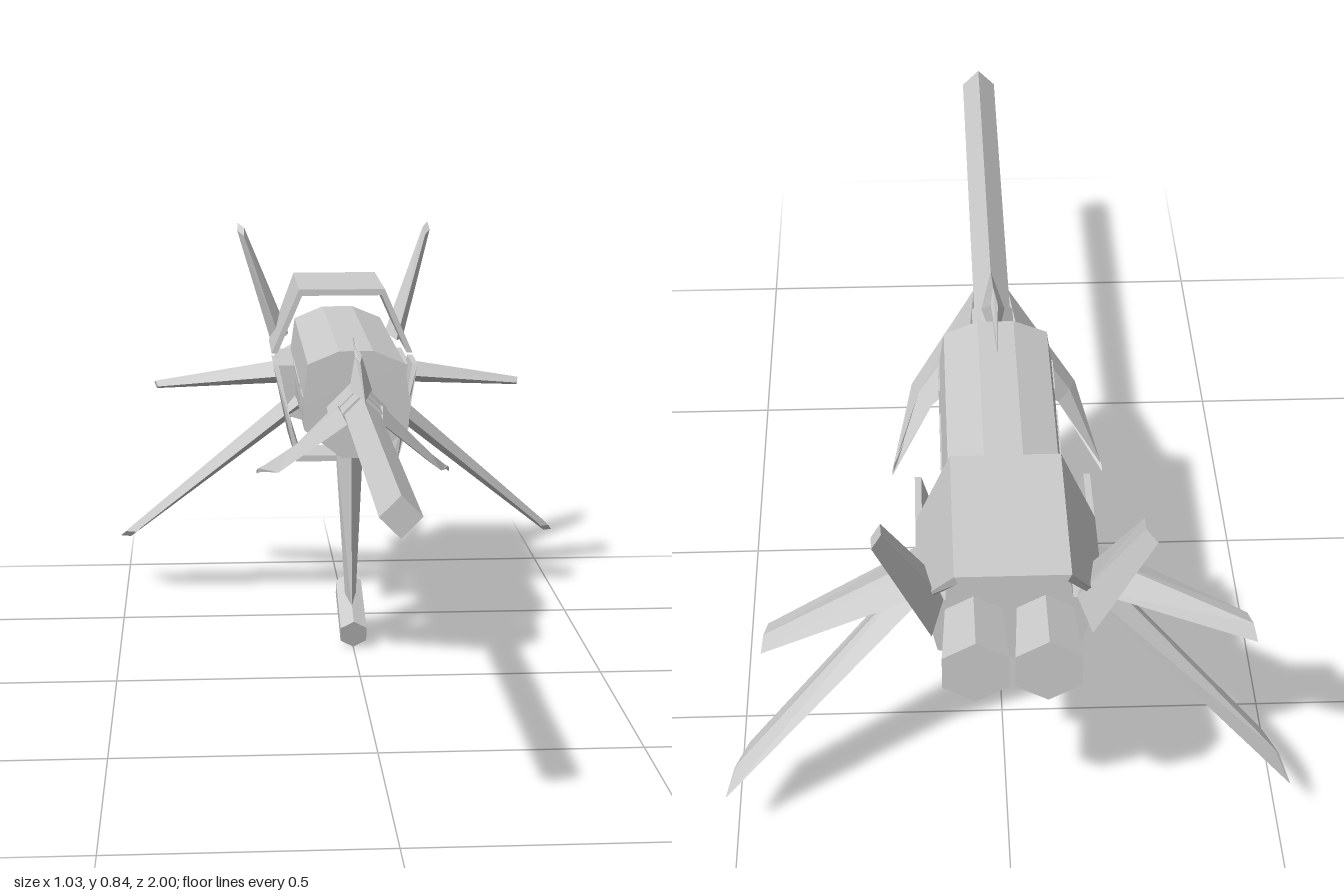
import * as THREE from 'three';

const mat = new THREE.MeshStandardMaterial({ color: 0xcccccc, flatShading: true });
const thin = new THREE.MeshStandardMaterial({ color: 0xcccccc, flatShading: true, side: THREE.DoubleSide });

export function createModel() {
  const model = new THREE.Group();

  const add = (name, geometry, material = mat) => {
    const mesh = new THREE.Mesh(geometry, material);
    mesh.name = name;
    model.add(mesh);
    return mesh;
  };

  // Full outline from its right half, listed from top to bottom
  const mirrored = (half) => [...half, ...half.slice().reverse().map(([x, y]) => [-x, y])];

  // Prism with an x-y outline running from zBack to zFront
  const prism = (name, outline, zBack, zFront, material) => {
    const shape = new THREE.Shape(outline.map(([x, y]) => new THREE.Vector2(x, y)));
    const geo = new THREE.ExtrudeGeometry(shape, { depth: zFront - zBack, bevelEnabled: false });
    geo.translate(0, 0, zBack);
    return add(name, geo, material);
  };

  const diamond = (r, y) => [[0, y + r], [r, y], [0, y - r], [-r, y]];

  // Slide the ends of a prism along z as a function of height
  const trimEnds = (mesh, front, back) => {
    const p = mesh.geometry.attributes.position;
    const mid = (Math.min(...zs(p)) + Math.max(...zs(p))) / 2;
    for (let i = 0; i < p.count; i++) p.setZ(i, (p.getZ(i) > mid ? front : back)(p.getY(i)));
    mesh.geometry.computeVertexNormals();
  };
  const zs = (p) => Array.from({ length: p.count }, (_, i) => p.getZ(i));

  // Diamond-section fin lofted through stations [leading, trailing, thickness]
  const fin = (name, stations, sx = 1) => {
    const v = (a) => new THREE.Vector3(a[0] * sx, a[1], a[2]);
    const span = v(stations.at(-1)[0]).sub(v(stations[0][0]));
    const chord = v(stations[0][1]).sub(v(stations[0][0]));
    const normal = span.cross(chord).normalize();
    const pos = [], index = [];
    for (const [lead, trail, t] of stations) {
      const a = v(lead), b = v(trail), m = a.clone().lerp(b, 0.5);
      const up = m.clone().addScaledVector(normal, t / 2);
      const down = m.clone().addScaledVector(normal, -t / 2);
      for (const q of [a, up, b, down]) pos.push(q.x, q.y, q.z);
    }
    const last = (stations.length - 1) * 4;
    for (let s = 0; s < last; s += 4) {
      for (let k = 0; k < 4; k++) {
        const a = s + k, b = s + (k + 1) % 4;
        index.push(a, b, b + 4, a, b + 4, a + 4);
      }
    }
    index.push(0, 2, 1, 0, 3, 2, last, last + 1, last + 2, last, last + 2, last + 3);
    const geo = new THREE.BufferGeometry();
    geo.setAttribute('position', new THREE.Float32BufferAttribute(pos, 3));
    geo.setIndex(index);
    geo.computeVertexNormals();
    return add(name, geo, thin);
  };

  // Long square barrel set on edge, with stepped collars
  prism('barrel', diamond(0.036, 0.565), -0.12, 1);
  prism('barrelCollar', diamond(0.045, 0.562), -0.12, 0.07);
  prism('noseCollar', diamond(0.062, 0.548), -0.13, 0);

  // Fuselage: upper shell, recessed core, chin and belly
  prism('upperFuselage', mirrored([[0.035, 0.664], [0.1, 0.637], [0.112, 0.55]]), -0.81, -0.115);
  prism('fuselageCore', mirrored([[0.09, 0.56], [0.08, 0.49], [0.03, 0.455]]), -0.81, -0.13);
  const lower = mirrored([[0.112, 0.57], [0.108, 0.5], [0.03, 0.44]]);
  prism('chin', lower, -0.21, -0.115);
  prism('belly', lower, -0.62, -0.28);

  // Wide rear block that carries the fins and engines
  prism('rearBlock', mirrored([[0.15, 0.565], [0.125, 0.45], [0.06, 0.43]]), -0.81, -0.56);

  // Open cowl below the body, with swept side edges
  const cowl = prism('lowerCowl', [
    [0.16, 0.578], [0.148, 0.578], [0.12, 0.44], [0.102, 0.383], [-0.102, 0.383], [-0.12, 0.44],
    [-0.148, 0.578], [-0.16, 0.578], [-0.132, 0.44], [-0.112, 0.37], [0.112, 0.37], [0.132, 0.44],
  ], -0.6, -0.44, thin);
  trimEnds(cowl,
    (y) => -0.435 - Math.max(0, y - 0.44) * 0.36,
    (y) => (y < 0.4 ? -0.555 : -0.62));

  // Angular hood over the tail, its rear edge cut forward at the sides
  const hood = prism('tailHood', [
    [0.16, 0.583], [0.097, 0.728], [-0.097, 0.728], [-0.16, 0.583],
    [-0.147, 0.583], [-0.09, 0.714], [0.09, 0.714], [0.147, 0.583],
  ], -0.9, -0.62, thin);
  trimEnds(hood, () => -0.617, (y) => (y > 0.7 ? -0.94 : -0.83));

  for (const s of [1, -1]) {
    const side = s > 0 ? 'left' : 'right';

    // Hexagonal exhaust
    const engine = add(side + 'Engine', new THREE.CylinderGeometry(0.055, 0.066, 0.16, 6));
    engine.rotation.x = Math.PI / 2;
    engine.position.set(s * 0.062, 0.515, -0.86);

    // Swept blade beside the nose
    fin(side + 'Canard', [
      [[0.035, 0.56, 0.15], [0.035, 0.56, -0.12], 0.03],
      [[0.165, 0.435, 0], [0.125, 0.47, -0.12], 0.016],
      [[0.202, 0.4, -0.22], [0.205, 0.385, -0.235], 0.004],
    ], s);

    // Tail fins: long lower, short middle, raised upper
    fin(side + 'LowerFin', [
      [[0.1, 0.485, -0.52], [0.1, 0.485, -0.64], 0.045],
      [[0.46, 0.165, -0.715], [0.512, 0.12, -0.828], 0.018],
      [[0.475, 0.15, -0.722], [0.515, 0.118, -0.828], 0.016],
    ], s);
    fin(side + 'MiddleFin', [
      [[0.12, 0.535, -0.6], [0.12, 0.535, -0.75], 0.055],
      [[0.42, 0.485, -0.77], [0.43, 0.483, -0.845], 0.018],
    ], s);
    fin(side + 'UpperFin', [
      [[0.135, 0.59, -0.76], [0.135, 0.59, -0.93], 0.045],
      [[0.215, 0.82, -0.91], [0.228, 0.842, -1], 0.018],
    ], s);
  }

  // Short blade above the nose
  fin('topCanard', [
    [[0, 0.605, 0.15], [0, 0.605, -0.12], 0.046],
    [[0, 0.66, 0.01], [0, 0.665, -0.12], 0.014],
    [[0, 0.672, -0.22], [0, 0.677, -0.235], 0.003],
  ]);

  // Ventral strut and its hexagonal foot
  fin('ventralStrut', [
    [[0, 0.46, -0.29], [0, 0.46, -0.44], 0.065],
    [[0, 0.07, -0.265], [0, 0.09, -0.38], 0.022],
  ]);
  const foot = add('foot', new THREE.CylinderGeometry(0.032, 0.032, 0.19, 6));
  foot.geometry.rotateX(Math.PI / 2);
  foot.rotation.x = Math.atan2(0.06, 0.18);
  foot.position.set(0, 0.064, -0.306);

  return model;
}
